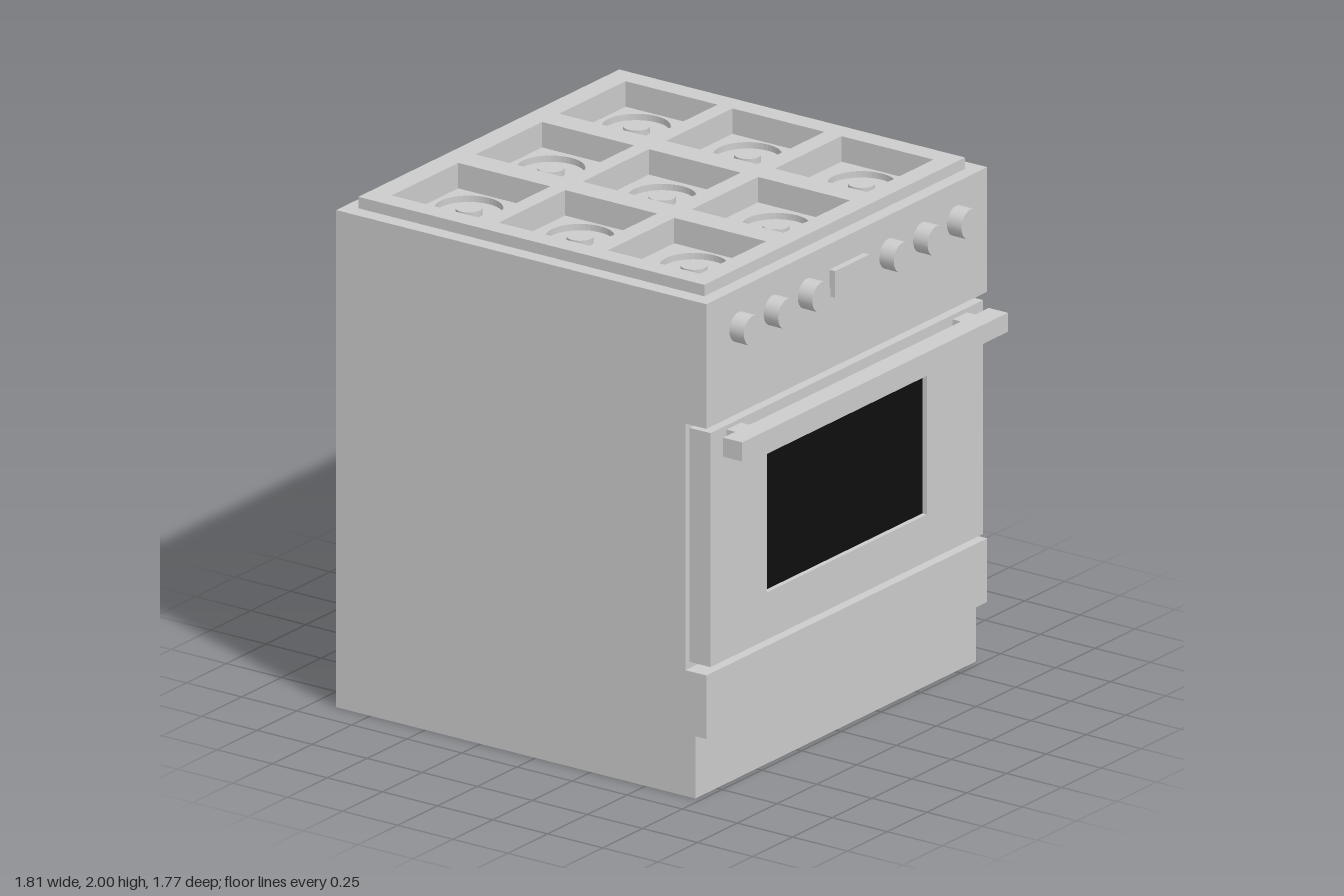
import * as THREE from 'three';

const grey = new THREE.MeshStandardMaterial({ color: 0xcccccc });
const black = new THREE.MeshStandardMaterial({ color: 0x0e0e0e });

const HALF = 0.883; // half width of the body along z

function add(parent, name, geometry, x = 0, y = 0, z = 0, material = grey) {
  const mesh = new THREE.Mesh(geometry, material);
  mesh.name = name;
  mesh.position.set(x, y, z);
  parent.add(mesh);
  return mesh;
}

// Box given by its limits on each axis
function block(parent, name, [x0, x1], [y0, y1], [z0, z1], material) {
  return add(parent, name, new THREE.BoxGeometry(x1 - x0, y1 - y0, z1 - z0),
    (x0 + x1) / 2, (y0 + y1) / 2, (z0 + z1) / 2, material);
}

function rectPoints(x0, x1, y0, y1) {
  return [[x0, y0], [x1, y0], [x1, y1], [x0, y1]].map(([x, y]) => new THREE.Vector2(x, y));
}

// Rectangular plate with rectangular holes
function plate(outer, holes, depth) {
  const shape = new THREE.Shape(rectPoints(...outer));
  for (const h of holes) shape.holes.push(new THREE.Path(rectPoints(...h).reverse()));
  return new THREE.ExtrudeGeometry(shape, { depth, bevelEnabled: false });
}

export function createModel() {
  const stove = new THREE.Group();
  stove.name = 'stove';

  // Body: side profile with toe kick and door recess, extruded across the width
  const profile = new THREE.Shape([
    [-0.86, 0], [0.725, 0], [0.725, 0.245], [0.775, 0.245], [0.775, 0.495],
    [0.68, 0.495], [0.68, 1.465], [0.775, 1.465], [0.775, 1.9], [-0.86, 1.9],
  ].map(([x, y]) => new THREE.Vector2(x, y)));
  add(stove, 'body', new THREE.ExtrudeGeometry(profile, { depth: 2 * HALF, bevelEnabled: false }), 0, 0, -HALF);

  // Rim around the sunken rear panel
  const rim = plate([-HALF, HALF, 0, 1.9], [[-0.825, 0.825, 0.06, 1.885]], 0.045).rotateY(Math.PI / 2);
  add(stove, 'rearRim', rim, -0.905);

  // Cooktop: two stacked slabs pierced by a grid of burner wells
  const wellX = [-0.55, -0.065, 0.43], wellZ = [-0.525, 0, 0.527], h = 0.209;
  const holes = wellX.flatMap(x => wellZ.map(z => [x - h, x + h, -z - h, -z + h]));
  add(stove, 'cooktopBase', plate([-0.905, 0.775, -HALF, HALF], holes, 0.055).rotateX(-Math.PI / 2), 0, 1.9);
  add(stove, 'cooktopPlate', plate([-0.85, 0.72, -0.82, 0.82], holes, 0.045).rotateX(-Math.PI / 2), 0, 1.955);

  // Burners: a thin ring around a low central cap
  const ring = new THREE.LatheGeometry(
    [[0.14, 0], [0.14, 0.025], [0.127, 0.025], [0.127, 0]].map(([r, y]) => new THREE.Vector2(r, y)), 40).toNonIndexed();
  ring.computeVertexNormals();
  const cap = new THREE.CylinderGeometry(0.05, 0.05, 0.025, 32);
  for (const x of [-0.57, -0.065, 0.452]) {
    for (const z of [-0.54, -0.003, 0.513]) {
      const burner = new THREE.Group();
      burner.name = 'burner';
      burner.position.set(x, 1.9, z);
      add(burner, 'burnerRing', ring).material = ringMaterial;
      add(burner, 'burnerCap', cap, 0, 0.0125);
      stove.add(burner);
    }
  }

  // Control panel: six knobs and a display
  const knob = new THREE.CylinderGeometry(0.058, 0.058, 0.07, 24).rotateZ(Math.PI / 2);
  for (const z of [-0.688, -0.475, -0.262, 0.25, 0.465, 0.68]) add(stove, 'knob', knob, 0.806, 1.805, z);
  block(stove, 'display', [0.77, 0.802], [1.75, 1.855], [-0.105, 0.11]);

  // Oven door with a slightly sunken dark window
  const door = new THREE.Group();
  door.name = 'ovenDoor';
  stove.add(door);
  const panel = plate([-0.857, 0.857, 0.52, 1.44], [[-0.503, 0.503, 0.705, 1.25]], 0.095).rotateY(Math.PI / 2);
  add(door, 'doorPanel', panel, 0.68);
  block(door, 'window', [0.7, 0.755], [0.705, 1.25], [-0.503, 0.503], black);

  // Door handle bar on two brackets
  block(door, 'handleBar', [0.817, 0.903], [1.35, 1.425], [-0.835, 0.835]);
  for (const side of [-1, 1]) {
    const z = side * 0.71;
    block(door, 'handleBracket', [0.77, 0.82], [1.352, 1.423], [z - 0.045, z + 0.045]);
  }
  return stove;
}

const ringMaterial = new THREE.MeshStandardMaterial({ color: 0xcccccc, side: THREE.DoubleSide });
